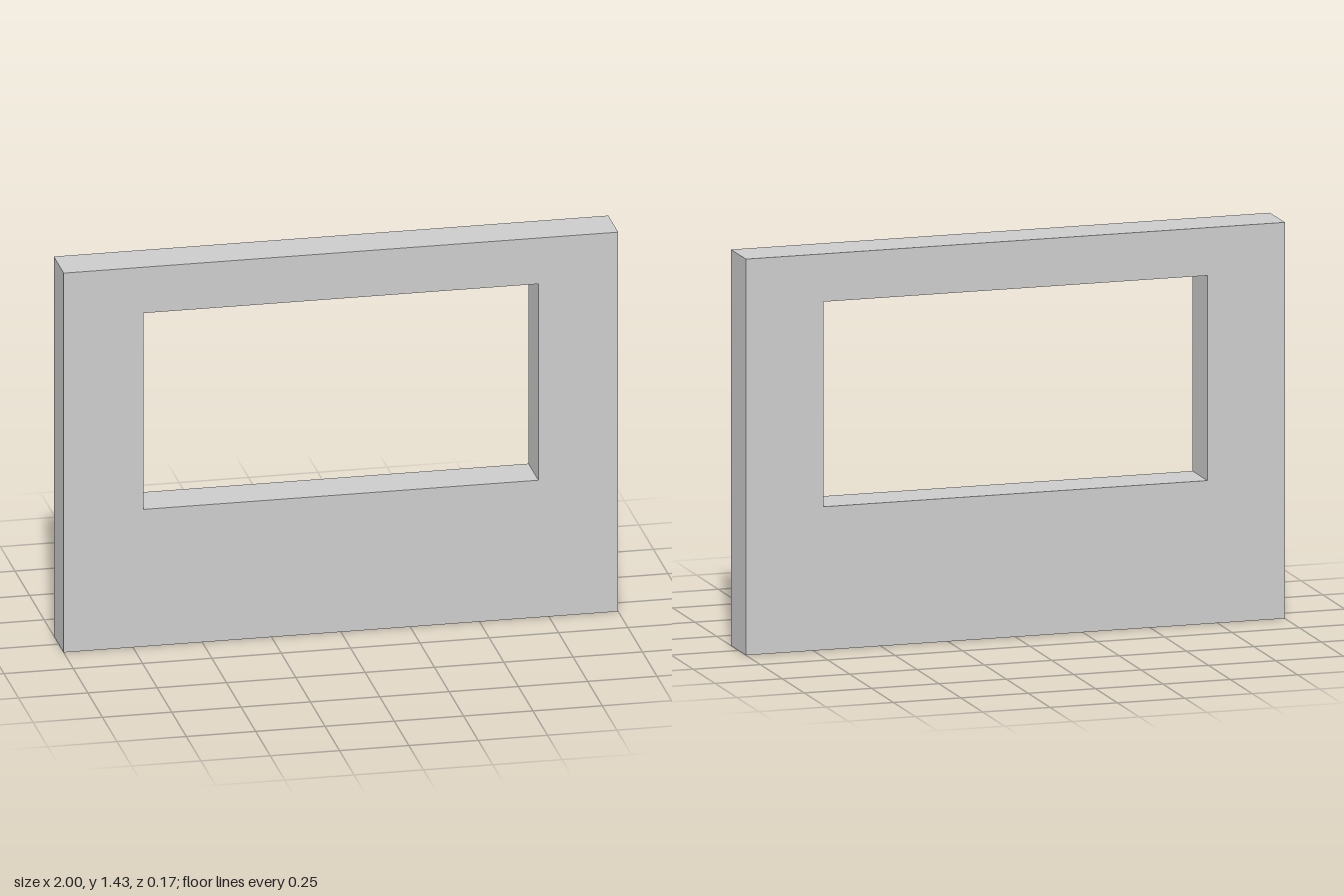
import * as THREE from 'three';

const WIDTH = 2, HEIGHT = 1.43, DEPTH = 0.17;
const OPENING = { halfWidth: 0.712, bottom: 0.517, top: 1.257 };

// Traces a rectangle, symmetric about x = 0, onto a shape or path
function rectangle(path, halfWidth, bottom, top) {
  path.moveTo(-halfWidth, bottom);
  path.lineTo(halfWidth, bottom);
  path.lineTo(halfWidth, top);
  path.lineTo(-halfWidth, top);
  path.closePath();
  return path;
}

export function createModel() {
  const group = new THREE.Group();
  group.name = 'windowWall';

  // Wall slab with a rectangular window opening
  const outline = rectangle(new THREE.Shape(), WIDTH / 2, 0, HEIGHT);
  outline.holes.push(rectangle(new THREE.Path(), OPENING.halfWidth, OPENING.bottom, OPENING.top));
  const geometry = new THREE.ExtrudeGeometry(outline, { depth: DEPTH, bevelEnabled: false });
  geometry.translate(0, 0, -DEPTH / 2);

  const wall = new THREE.Mesh(geometry, new THREE.MeshStandardMaterial({ color: 0xcccccc }));
  wall.name = 'wall';
  group.add(wall);
  return group;
}
